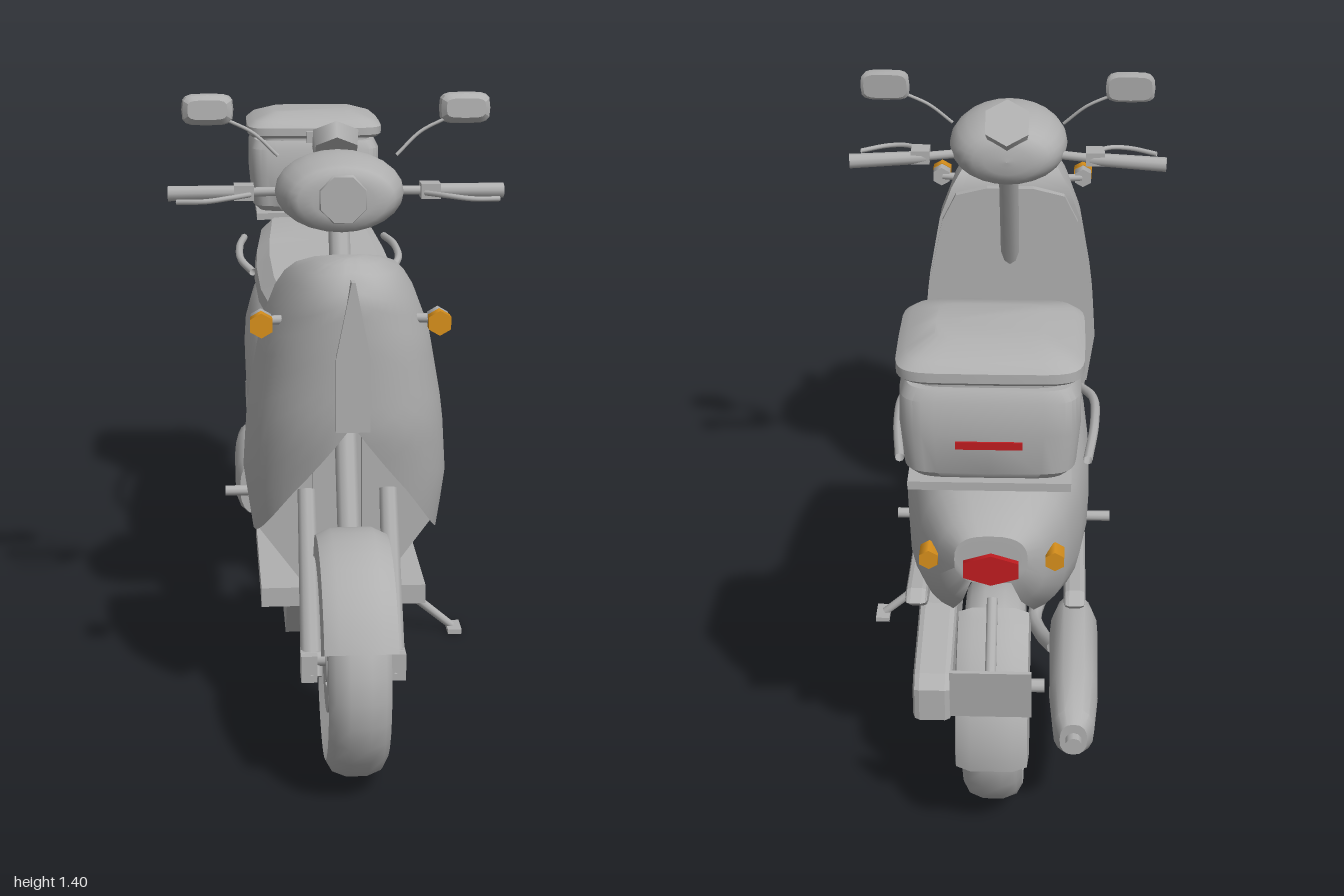
import * as THREE from 'three';
import { toCreasedNormals } from 'three/addons/utils/BufferGeometryUtils.js';

const material = (name, color) => {
  const m = new THREE.MeshStandardMaterial({ color, side: THREE.DoubleSide });
  m.name = name;
  return m;
};
const V = (x, y, z) => new THREE.Vector3(x, y, z);

export function createModel() {
  const grey = material('grey', 0xb0b0b0);
  const amber = material('amber', 0xd8901c);
  const red = material('red', 0xc01c20);
  const model = new THREE.Group();
  model.name = 'scooter';

  const add = (name, geo, mat = grey, parent = model) => {
    const m = new THREE.Mesh(geo, mat);
    m.name = name;
    parent.add(m);
    return m;
  };
  const box = (name, w, h, d, x, y, z, mat = grey, parent = model) => {
    const m = add(name, new THREE.BoxGeometry(w, h, d), mat, parent);
    m.position.set(x, y, z);
    return m;
  };
  const tube = (name, pts, r) => add(name, new THREE.TubeGeometry(
    new THREE.CatmullRomCurve3(pts.map(p => V(...p))), 16, r, 8));
  const rod = (name, a, b, r0, r1 = r0) => {
    const d = V(...b).sub(V(...a));
    const m = add(name, new THREE.CylinderGeometry(r1, r0, d.length(), 10));
    m.quaternion.setFromUnitVectors(V(0, 1, 0), d.clone().normalize());
    m.position.copy(V(...a)).addScaledVector(d, 0.5);
    return m;
  };
  // piecewise linear lookup
  const at = (table, y) => {
    for (let i = 1; i < table.length; i++) {
      const [y0, v0] = table[i - 1], [y1, v1] = table[i];
      if (y <= y1) return v0 + (v1 - v0) * Math.max(0, (y - y0) / (y1 - y0));
    }
    return table[table.length - 1][1];
  };
  // skin over a list of rings with equal point counts
  const loft = (rings, { closed = true, capStart = false, capEnd = false, crease = 0.6 } = {}) => {
    const n = rings[0].length, pos = [], idx = [];
    rings.forEach(r => r.forEach(p => pos.push(p.x, p.y, p.z)));
    for (let i = 0; i + 1 < rings.length; i++) for (let j = 0; j < (closed ? n : n - 1); j++) {
      const a = i * n + j, b = i * n + (j + 1) % n, c = a + n, d = b + n;
      idx.push(a, c, b, b, c, d);
    }
    const cap = (i, flip) => {
      const o = i * n;
      for (let j = 1; j + 1 < n; j++) idx.push(o, o + (flip ? j + 1 : j), o + (flip ? j : j + 1));
    };
    if (capStart) cap(0, false);
    if (capEnd) cap(rings.length - 1, true);
    const g = new THREE.BufferGeometry();
    g.setAttribute('position', new THREE.Float32BufferAttribute(pos, 3));
    g.setIndex(idx);
    return toCreasedNormals(g, crease);
  };
  const spow = (v, e) => Math.sign(v) * Math.abs(v) ** e;
  // superelliptic arc in the plane z; e = 1 is an ellipse, smaller is boxier
  const arc = (z, yb, yt, w, e, from, to, n) => Array.from({ length: n }, (_, i) => {
    const a = from + (to - from) * i / (n - 1);
    return V(w * spow(Math.cos(a), e), (yb + yt) / 2 + (yt - yb) / 2 * spow(Math.sin(a), e), z);
  });
  const loop = (z, h, w, e, n) => arc(z, -h, h, w, e, 0, Math.PI * 2 * (n - 1) / n, n);
  // side silhouette given as [z, y], extruded from x0 to x1
  const sidePlate = (name, pts, x0, x1, bevel = 0) => {
    const s = new THREE.Shape(pts.map(([z, y]) => new THREE.Vector2(-z, y)));
    const g = new THREE.ExtrudeGeometry(s, { depth: x1 - x0 - 2 * bevel, bevelEnabled: bevel > 0,
      bevelSize: bevel, bevelThickness: bevel, bevelOffset: -bevel, bevelSegments: 2 });
    g.translate(0, 0, x0 + bevel).rotateY(Math.PI / 2);
    return add(name, g);
  };
  const lathe = (pts, seg) => toCreasedNormals(
    new THREE.LatheGeometry(pts.map(p => new THREE.Vector2(...p)), seg), 0.7).rotateZ(Math.PI / 2);

  // wheels
  const wheel = (name, z, y, discR) => {
    const g = new THREE.Group();
    g.name = name;
    g.position.set(0, y, z);
    model.add(g);
    add('tyre', lathe([[.19, -.045], [.215, -.065], [.238, -.052], [.25, -.022], [.25, .022], [.238, .052],
      [.215, .065], [.19, .045], [.19, -.045]], 28), grey, g);
    add('rim', lathe([[.17, -.03], [.195, -.045], [.195, .045], [.17, .03], [.17, -.03]], 28), grey, g);
    for (let i = 0; i < 6; i++) {
      const a = i * Math.PI / 3 + 0.3;
      box('spoke', .035, .14, .028, 0, Math.cos(a) * .105, Math.sin(a) * .105, grey, g).rotation.x = a;
    }
    add('hub', new THREE.CylinderGeometry(.05, .05, .12, 16).rotateZ(Math.PI / 2), grey, g);
    add('axle', new THREE.CylinderGeometry(.016, .016, .22, 10).rotateZ(Math.PI / 2), grey, g);
    for (const s of [-1, 1]) {
      add('brakeDisc', lathe([[.06, -.004], [discR, -.004], [discR, .004], [.06, .004], [.06, -.004]], 24)
        .translate(s * .055, 0, 0), grey, g);
    }
  };
  wheel('frontWheel', .75, .26, .115);
  wheel('rearWheel', -.675, .26, .1);

  // fenders: an arched strip swept about the wheel centre, angle measured from +z
  const fender = (name, z, y, r, from, to) => {
    const rings = [];
    for (let i = 0; i <= 12; i++) {
      const a = from + (to - from) * i / 12;
      rings.push([[-.08, -.06], [-.076, -.015], [-.045, 0], [.045, 0], [.076, -.015], [.08, -.06]]
        .map(([x, d]) => V(x, y + Math.sin(a) * (r + d), z + Math.cos(a) * (r + d))));
    }
    add(name, loft(rings, { closed: false }));
  };
  fender('frontFender', .75, .26, .28, .42, 2.45);
  fender('rearFender', -.67, .26, .278, 1.9, 3.25);

  // fork, steering neck
  for (const s of [-1, 1]) {
    rod('forkLeg', [s * .09, .22, .755], [s * .09, .58, .565], .024, .02);
    box('forkFoot', .035, .06, .06, s * .095, .245, .745);
    box('frameRail', .03, .44, .03, s * .055, .54, .455);
  }
  rod('steeringNeck', [0, .5, .605], [0, 1.14, .27], .025);

  // front shield with open lower mouth
  const halfW = [[.46, .205], [.6, .225], [.75, .215], [.93, .183], [1.03, .145], [1.08, .105], [1.1, .07], [1.112, .03]];
  const frontZ = [[.46, .65], [.6, .68], [.75, .72], [.95, .73], [1.04, .73], [1.09, .70], [1.112, .65]];
  const backZ = [[1, .43], [1.05, .45], [1.09, .52], [1.112, .6]];
  const rows = [];
  for (let i = 0; i <= 14; i++) {
    const t = 1 - (1 - i / 14) ** 1.5, row = [];
    for (let j = 0; j <= 24; j++) {
      const a = (j / 24 - .5) * Math.PI, sx = spow(Math.sin(a), .9);
      const low = .77 - .305 * Math.abs(sx), y = low + (1.112 - low) * t, zb = at(backZ, y);
      row.push(V(at(halfW, y) * sx, y, zb + (at(frontZ, y) - zb) * spow(Math.cos(a), .68)));
    }
    rows.push(row.reverse());
  }
  add('frontShield', loft(rows, { capEnd: true, crease: .9 }));
  const mirrored = p => [...p, ...p.map(([x, y]) => [-x, y]).reverse()].map(q => new THREE.Vector2(...q));
  const frontPlate = (name, pts, z, depth) => add(name, new THREE.ExtrudeGeometry(new THREE.Shape(mirrored(pts)),
    { depth, bevelEnabled: false }).translate(0, 0, z));
  frontPlate('innerLegPanel', [[.09, .31], [.2, .46], [.22, .6], [.208, .77], [.175, .93], [.14, 1.0], [.06, 1.02]], .415, .02);
  frontPlate('nosePanel', [[.036, .76], [.036, .92], [.004, 1.08]], .69, .047);

  // head unit, lamp, display
  const profile = new THREE.SplineCurve([[.001, -.145], [.085, -.133], [.13, -.085], [.145, 0], [.132, .08], [.1, .132], [.001, .138]]
    .map(p => new THREE.Vector2(...p))).getPoints(18);
  add('headUnit', new THREE.LatheGeometry(profile, 24).rotateX(Math.PI / 2).scale(1, .61, 1))
    .position.set(0, 1.195, .29);
  add('headlamp', new THREE.CylinderGeometry(.054, .06, .02, 8).rotateY(Math.PI / 8).rotateX(Math.PI / 2))
    .position.set(0, 1.198, .425);
  const display = add('display', new THREE.CylinderGeometry(.06, .055, .045, 6));
  display.position.set(0, 1.278, .17);
  display.rotation.x = -.85;

  // handlebars, levers, mirrors
  for (const s of [-1, 1]) {
    rod('handlebar', [s * .1, 1.185, .235], [s * .22, 1.18, .215], .011);
    rod('grip', [s * .2, 1.18, .215], [s * .385, 1.175, .195], .016, .018);
    box('switchBlock', .045, .034, .05, s * .213, 1.183, .225);
    tube('brakeLever', [[s * .2, 1.18, .25], [s * .25, 1.18, .295], [s * .3, 1.175, .305], [s * .365, 1.17, .28]], .006);
    tube('mirrorStalk', [[s * .135, 1.265, .23], [s * .19, 1.315, .215], [s * .25, 1.345, .21]], .004);
    const rings = [[.02, .022, .045], [.008, .033, .056], [-.014, .036, .059], [-.018, .03, .052]];
    const m = add('mirror', loft(rings.map(([z, h, w]) => loop(z, h, w, .5, 16)), { capStart: true, capEnd: true, crease: .4 }));
    m.position.set(s * .293, 1.368, .21);
    m.rotation.x = -.08;
  }

  // turn signals
  const hex = (r, d) => new THREE.CylinderGeometry(r, r, d, 6).rotateX(Math.PI / 2);
  for (const s of [-1, 1]) {
    add('frontSignalHousing', hex(.025, .032)).position.set(s * .188, .975, .624);
    add('frontSignal', hex(.027, .026), amber).position.set(s * .188, .975, .652);
    rod('signalStem', [s * .14, .975, .61], [s * .185, .975, .615], .01);
    add('rearSignal', hex(.022, .042), amber).position.set(s * .13, .715, -.855);
    rod('rearSignalStem', [s * .06, .715, -.83], [s * .12, .715, -.84], .008);
  }

  // floorboard and belly
  box('floorboard', .375, .045, .5, 0, .288, .21);
  sidePlate('belly', [[.46, .27], [.38, .17], [-.06, .19], [-.06, .27]], -.13, .13);
  box('batteryCover', .13, .09, .1, 0, .35, -.02);

  // rear bodywork: [z, bottom, top, half width]
  const body = [[.05, .455, .81, .182], [-.03, .40, .82, .19], [-.1, .385, .83, .196], [-.3, .40, .855, .204],
    [-.5, .43, .865, .202], [-.65, .46, .862, .186], [-.78, .52, .845, .155], [-.87, .605, .815, .11], [-.91, .68, .795, .075]];
  add('rearBody', loft(body.map(b => arc(...b, .75, -1.1, Math.PI + 1.1, 25)),
    { closed: false, capEnd: true, crease: .8 }));

  // seat: [z, bottom, top, half width]
  const seat = [[.05, .815, .875, .14], [.0, .812, .897, .155], [-.12, .82, .908, .172], [-.3, .84, .925, .178],
    [-.45, .865, .935, .172], [-.62, .88, .96, .155], [-.75, .89, .945, .13]];
  add('seat', loft(seat.map(([z, b, t, w]) => [[.85, 0], [1, .3], [.97, .65], [.78, 1], [-.78, 1], [-.97, .65], [-1, .3], [-.85, 0]]
    .map(([x, y]) => V(x * w, b + (t - b) * y, z))), { capStart: true, capEnd: true, crease: .5 }));

  // paired side parts
  for (const s of [-1, 1]) {
    const span = (a, b) => s > 0 ? [a, b] : [-b, -a];
    tube('grabRail', [[s * .18, .865, -.38], [s * .208, .88, -.46], [s * .21, .89, -.6], [s * .195, .885, -.75]], .01);
    sidePlate('lowerTrim', [[-.08, .39], [-.08, .44], [-.35, .475], [-.66, .505], [-.7, .49], [-.64, .445], [-.42, .4]],
      ...span(.15, .198), .012);
    rod('footPeg', [s * .15, .36, -.1], [s * .262, .36, -.1], .013);
    rod('rackArm', [s * .11, .88, -.5], [s * .11, .95, -.76], .012);
  }

  // swing arm cover on the left, open tube frame on the right
  sidePlate('swingArmCover', [[-.03, .19], [-.03, .36], [-.12, .375], [-.5, .36], [-.72, .32], [-.75, .295],
    [-.75, .215], [-.7, .185]], .095, .182, .015);
  tube('lowerFrameTube', [[-.15, .2, .06], [-.13, .13, .03], [-.08, .1, -.15], [-.1, .14, -.3], [-.13, .2, -.44]], .018);
  rod('standCrossBar', [-.1, .11, -.08], [.1, .16, -.03], .012);
  rod('pedal', [.1, .16, -.03], [.2, .15, -.06], .01);

  // silencer
  const silencer = [[-.42, .045, .075], [-.47, .056, .09], [-.72, .054, .08], [-.84, .045, .06], [-.87, .03, .04]];
  add('silencer', loft(silencer.map(([z, w, h]) => loop(z, h, w, .85, 16)), { capStart: true, capEnd: true }))
    .position.set(-.175, .26, 0);
  rod('silencerTip', [-.175, .26, -.86], [-.175, .26, -.89], .018);

  // side stand
  rod('sideStand', [.1, .19, -.01], [.31, .012, -.02], .013, .01);
  box('sideStandFoot', .035, .012, .065, .315, .007, -.02);

  // tail light and number plate holder
  add('tailLight', hex(1, .035).scale(.065, .035, 1), red).position.set(0, .72, -.905);
  box('plateHolder', .17, .12, .008, 0, .44, -.957).rotation.x = -.12;
  rod('plateBracket', [0, .6, -.84], [0, .49, -.955], .012);

  // top case on a rack
  box('rackPlate', .32, .018, .3, 0, .955, -.835);
  const stack = (name, z, e, rings) => add(name, loft(rings.map(([y, w, d]) =>
    loop(0, d, w, e, 32).map(p => V(p.x, y, z - p.y))), { capStart: true, capEnd: true }));
  stack('topCase', -.83, .32, [[.97, .155, .146], [.985, .17, .157], [1.07, .178, .161], [1.14, .177, .16], [1.162, .165, .148]]);
  stack('caseSeal', -.83, .32, [[1.16, .15, .135], [1.18, .15, .135]]);
  stack('topCaseLid', -.822, .32, [[1.172, .176, .153], [1.18, .184, .162], [1.2, .184, .162], [1.216, .165, .145], [1.235, .11, .08]]);
  box('lidLatch', .05, .03, .02, 0, 1.178, -.652);
  box('caseReflector', .13, .016, .008, 0, 1.05, -.99, red);

  return model;
}
